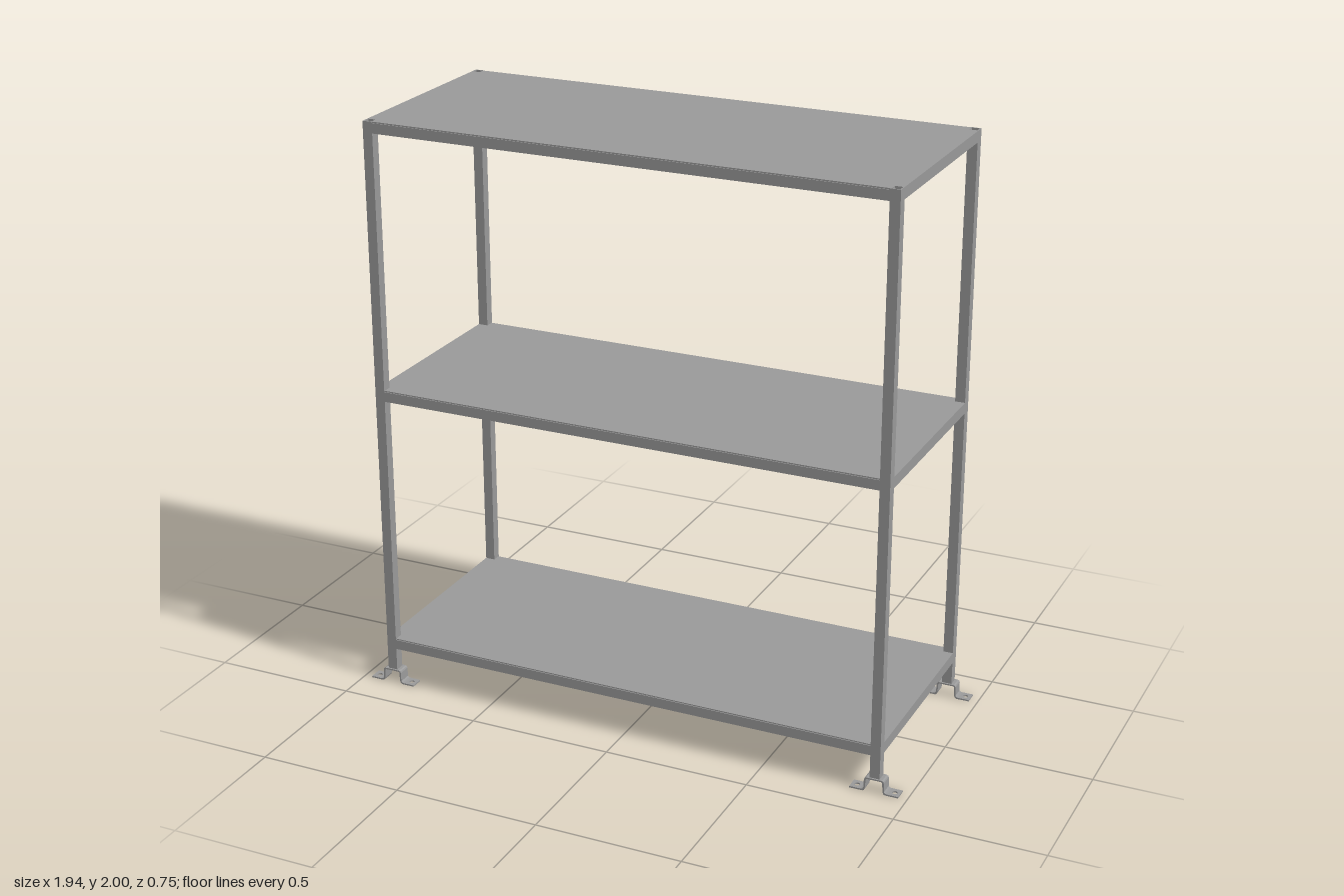
import * as THREE from 'three';

const mat = new THREE.MeshStandardMaterial({ color: 0x999999, side: THREE.DoubleSide });
const X = 0.905, Z = 0.37;        // outer half sizes of the frame
const T = 0.034;                  // square tube width
const SHEET = 0.004;              // shelf sheet thickness
const LEG_X = X - T / 2, LEG_Z = Z - T / 2;

function add(parent, name, geometry, x = 0, y = 0, z = 0) {
  const mesh = new THREE.Mesh(geometry, mat);
  mesh.name = name;
  mesh.position.set(x, y, z);
  parent.add(mesh);
}

const toShape = (pts) => new THREE.Shape(pts.map(([x, y]) => new THREE.Vector2(x, y)));
const rect = (w, d) => [[-w / 2, -d / 2], [w / 2, -d / 2], [w / 2, d / 2], [-w / 2, d / 2]];
const mirror = (pts) => pts.map(([x, y]) => [-x, y]).reverse();

// Extrude a floor plan upwards
function extrudeUp(shape, height) {
  return new THREE.ExtrudeGeometry(shape, { depth: height, bevelEnabled: false, curveSegments: 8 })
    .rotateX(-Math.PI / 2);
}

// Hollow square post
function legGeometry(height) {
  const shape = toShape(rect(T, T));
  shape.holes.push(toShape(rect(T - 0.008, T - 0.008)));
  return extrudeUp(shape, height);
}

// Shelf sheet, slightly inset front and back, with corners notched around the posts
function sheetGeometry() {
  const x = X - T, z = Z - T, edge = Z - 0.003;
  return extrudeUp(toShape([
    [-x, -edge], [x, -edge], [x, -z], [X, -z], [X, z], [x, z],
    [x, edge], [-x, edge], [-x, z], [-X, z], [-X, -z], [-x, -z],
  ]), SHEET);
}

function makeShelf(top) {
  const shelf = new THREE.Group();
  shelf.name = 'shelf';
  const y = top - SHEET - T / 2;
  add(shelf, 'shelfSheet', sheetGeometry(), 0, top - SHEET, 0);
  for (const s of [-1, 1]) {
    add(shelf, 'longRail', new THREE.BoxGeometry(2 * (X - T), T, T), 0, y, s * LEG_Z);
    add(shelf, 'sideRail', new THREE.BoxGeometry(T, T, 2 * (Z - T)), s * LEG_X, y, 0);
    add(shelf, 'crossBar', new THREE.BoxGeometry(T, T, 2 * (Z - T)), s * 0.29, y, 0);
  }
  return shelf;
}

// Bent strap foot: raised saddle with a drilled flange on either side
function makeFoot() {
  const foot = new THREE.Group();
  foot.name = 'foot';
  const width = 0.045;
  const outer = [[0.046, 0], [0.046, 0.005], [0.039, 0.006], [0.035, 0.011], [0.034, 0.042], [0.032, 0.047], [0.027, 0.05]];
  const inner = [[0.025, 0.045], [0.028, 0.042], [0.03, 0.01], [0.033, 0.003], [0.038, 0]];
  const strap = toShape([...outer, ...mirror(outer), ...mirror(inner), ...inner]);
  add(foot, 'saddle', new THREE.ExtrudeGeometry(strap, { depth: width, bevelEnabled: false })
    .translate(0, 0, -width / 2));
  const plate = toShape(rect(0.038, width));
  plate.holes.push(new THREE.Path().absarc(0, 0, 0.009, 0, Math.PI * 2, true));
  for (const s of [-1, 1]) add(foot, 'flange', extrudeUp(plate, 0.005), s * 0.064, 0, 0);
  return foot;
}

export function createModel() {
  const model = new THREE.Group();
  model.name = 'shelvingRack';
  for (const top of [0.168, 1.085, 2]) model.add(makeShelf(top));
  for (const sx of [-1, 1]) {
    for (const sz of [-1, 1]) {
      add(model, 'leg', legGeometry(1.95), sx * LEG_X, 0.05, sz * LEG_Z);
      const foot = makeFoot();
      foot.position.set(sx * LEG_X, 0, sz * LEG_Z);
      model.add(foot);
    }
  }
  return model;
}
